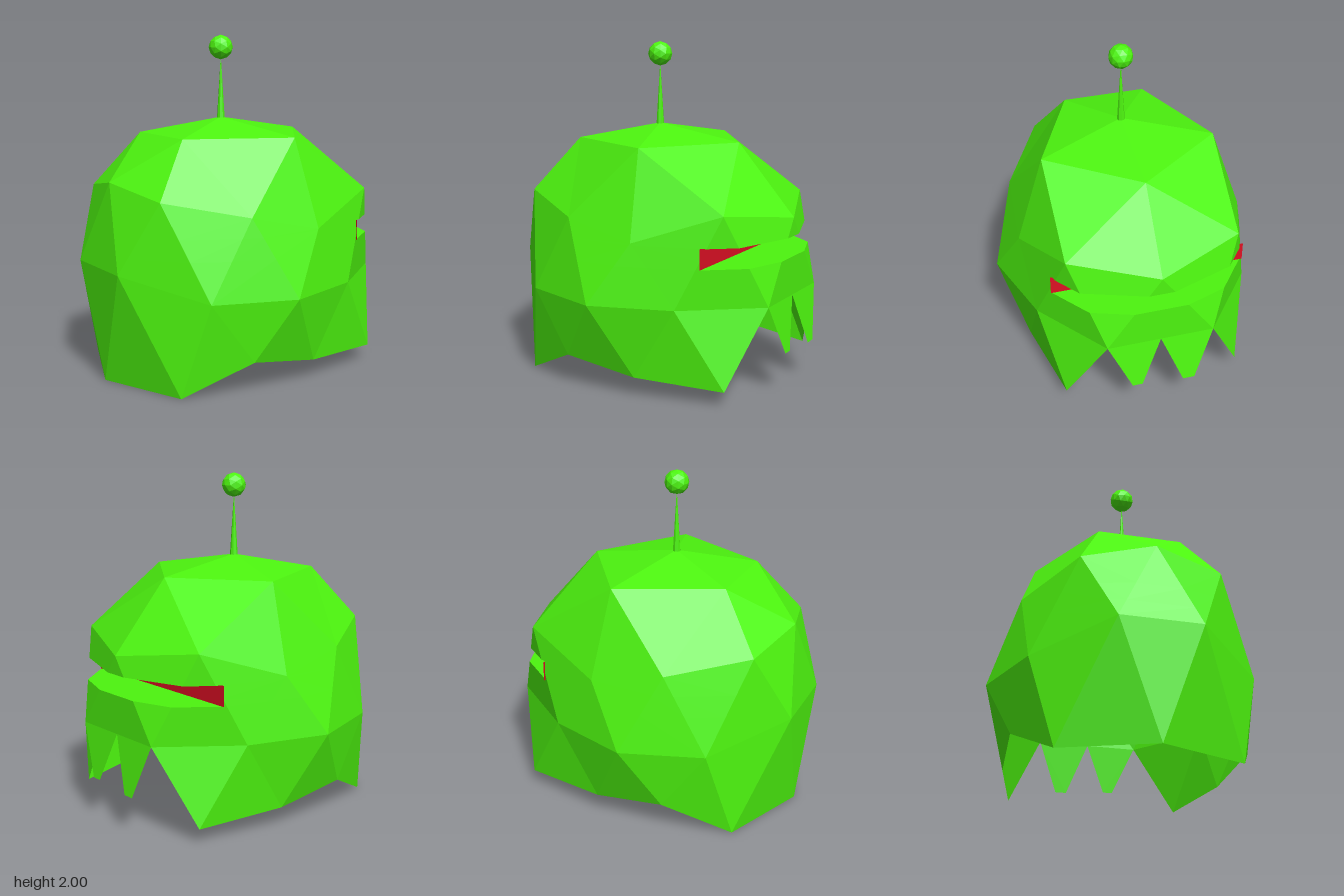
import * as THREE from 'three';

const green = new THREE.MeshStandardMaterial({ color: 0x4df50f, flatShading: true, side: THREE.DoubleSide });
const red = new THREE.MeshStandardMaterial({ color: 0xe01024, flatShading: true, side: THREE.DoubleSide });

// Visor slot limits
const SLOT = { x: 0.54, low: 0.78, high: 0.9 };

// Faceted dome points on the +z half: crown, cap, upper ring, equator, rim
const P = {
  T: [-0.06, 1.51, 0],
  A0: [0.48, 1.42, 0], A2: [0.11, 1.42, 0.52], A4: [-0.48, 1.42, 0.25],
  B0: [0.84, 1.01, 0], B1: [0.65, 1.08, 0.51], B2: [0.16, 0.91, 0.69],
  B3: [-0.28, 1.01, 0.66], B4: [-0.72, 1.1, 0.41], B5: [-0.82, 1.17, 0],
  E0: [0.84, 0.55, 0.32], E1: [0.42, 0.55, 0.65], E2: [-0.06, 0.55, 0.81],
  E3: [-0.54, 0.55, 0.65], E4: [-0.9, 0.68, 0.24],
  L1: [0.68, 0.09, 0.54], L2: [0.16, 0.12, 0.66], L3: [-0.28, 0.19, 0.69],
  L4: [-0.66, 0, 0.52], L5: [-0.87, 0, 0],
};

// Facets of one half, and those that span the middle (lower case = mirrored point)
const HALF = `T A0 A2,T A2 A4,A0 B0 B1,A0 B1 A2,A2 B1 B2,A2 B2 B3,A2 B3 A4,A4 B3 B4,A4 B4 B5,
B0 E0 B1,B1 E0 E1,B1 E1 B2,B2 E1 E2,B2 E2 B3,B3 E2 E3,B3 E3 B4,B4 E3 E4,B4 E4 B5,
E0 L1 E1,E1 L1 L2,E1 L2 E2,E2 L2 L3,E2 L3 E3,E3 L3 L4,E3 L4 E4,E4 L4 L5`;
const MIDDLE = 'T A4 a4,A4 B5 a4,B0 e0 E0,B5 E4 e4,E4 L5 e4';

const mirror = ([x, y, z]) => [x, y, -z];
const point = (n) => (P[n] ? P[n] : mirror(P[n.toUpperCase()]));
const parse = (s) => s.split(',').map((f) => f.trim().split(' ').map(point));

// Keep the part of a polygon where sign * (p[axis] - limit) >= 0
function clip(poly, axis, limit, sign) {
  const out = [];
  poly.forEach((a, i) => {
    const b = poly[(i + 1) % poly.length];
    const da = sign * (a[axis] - limit), db = sign * (b[axis] - limit);
    if (da >= 0) out.push(a);
    if (da * db < 0) {
      const p = a.map((v, k) => v + (b[k] - v) * (da / (da - db)));
      p[axis] = limit;
      out.push(p);
    }
  });
  return out;
}

// Mesh from convex polygons, each turned to face along outward(centroid)
function polyMesh(name, polys, material, outward) {
  const pos = [];
  const v = (p) => new THREE.Vector3(...p);
  for (const poly of polys) {
    for (let i = 1; i < poly.length - 1; i++) {
      const [a, b, c] = [v(poly[0]), v(poly[i]), v(poly[i + 1])];
      const n = b.clone().sub(a).cross(c.clone().sub(a));
      if (n.length() < 1e-7) continue;
      const mid = a.clone().add(b).add(c).divideScalar(3);
      const order = n.dot(outward(mid)) > 0 ? [a, b, c] : [a, c, b];
      order.forEach((p) => pos.push(p.x, p.y, p.z));
    }
  }
  const g = new THREE.BufferGeometry();
  g.setAttribute('position', new THREE.Float32BufferAttribute(pos, 3));
  g.computeVertexNormals();
  const m = new THREE.Mesh(g, material);
  m.name = name;
  return m;
}

export function createModel() {
  const group = new THREE.Group();
  group.name = 'helmet';
  const half = parse(HALF);
  const facets = [...half, ...half.map((f) => f.map(mirror)), ...parse(MIDDLE)];

  // Open shell with the visor slot cut out, plus the slot's floor and ceiling
  const shell = [], ledges = [];
  for (const f of facets) {
    const band = clip(clip(f, 1, SLOT.low, 1), 1, SLOT.high, -1);
    const cut = clip(band, 0, SLOT.x, 1);
    shell.push(clip(f, 1, SLOT.high, 1), clip(f, 1, SLOT.low, -1), clip(band, 0, SLOT.x, -1));
    cut.forEach((a, i) => {
      const b = cut[(i + 1) % cut.length];
      for (const y of [SLOT.low, SLOT.high]) {
        if (a[1] === y && b[1] === y) ledges.push([a, b, [SLOT.x, y, 0]]);
      }
    });
  }
  const centre = new THREE.Vector3(-0.06, 0.6, 0);
  const away = (m) => m.clone().sub(centre);
  group.add(polyMesh('shell', shell, green, away));
  const inSlot = (m) => new THREE.Vector3(0, 0.84 - m.y, 0);
  group.add(polyMesh('slotLedges', ledges, green, inSlot));

  // Two blunt teeth hanging over the mouth opening
  const notch = [0.84, 0.55, 0];
  const teeth = [
    [P.E0, [0.885, 0.25, 0.18], [0.885, 0.25, 0.12], notch],
    [mirror(P.E0), [0.89, 0.23, -0.2], [0.89, 0.23, -0.13], notch],
  ];
  group.add(polyMesh('teeth', teeth, green, away));

  // Red plate at the back of the slot
  const plate = new THREE.Mesh(new THREE.PlaneGeometry(1.17, SLOT.high - SLOT.low), red);
  plate.name = 'visor';
  plate.rotation.y = Math.PI / 2;
  plate.position.set(SLOT.x, (SLOT.low + SLOT.high) / 2, -0.005);
  group.add(plate);

  // Antenna with a ball floating on its tip
  const rod = new THREE.Mesh(new THREE.CylinderGeometry(0.002, 0.024, 0.35, 8), green);
  rod.name = 'antennaRod';
  rod.position.set(-0.06, 1.675, 0);
  const ball = new THREE.Mesh(new THREE.IcosahedronGeometry(0.073, 1), green);
  ball.name = 'antennaBall';
  ball.position.set(-0.06, 1.927, 0);
  group.add(rod, ball);
  return group;
}
